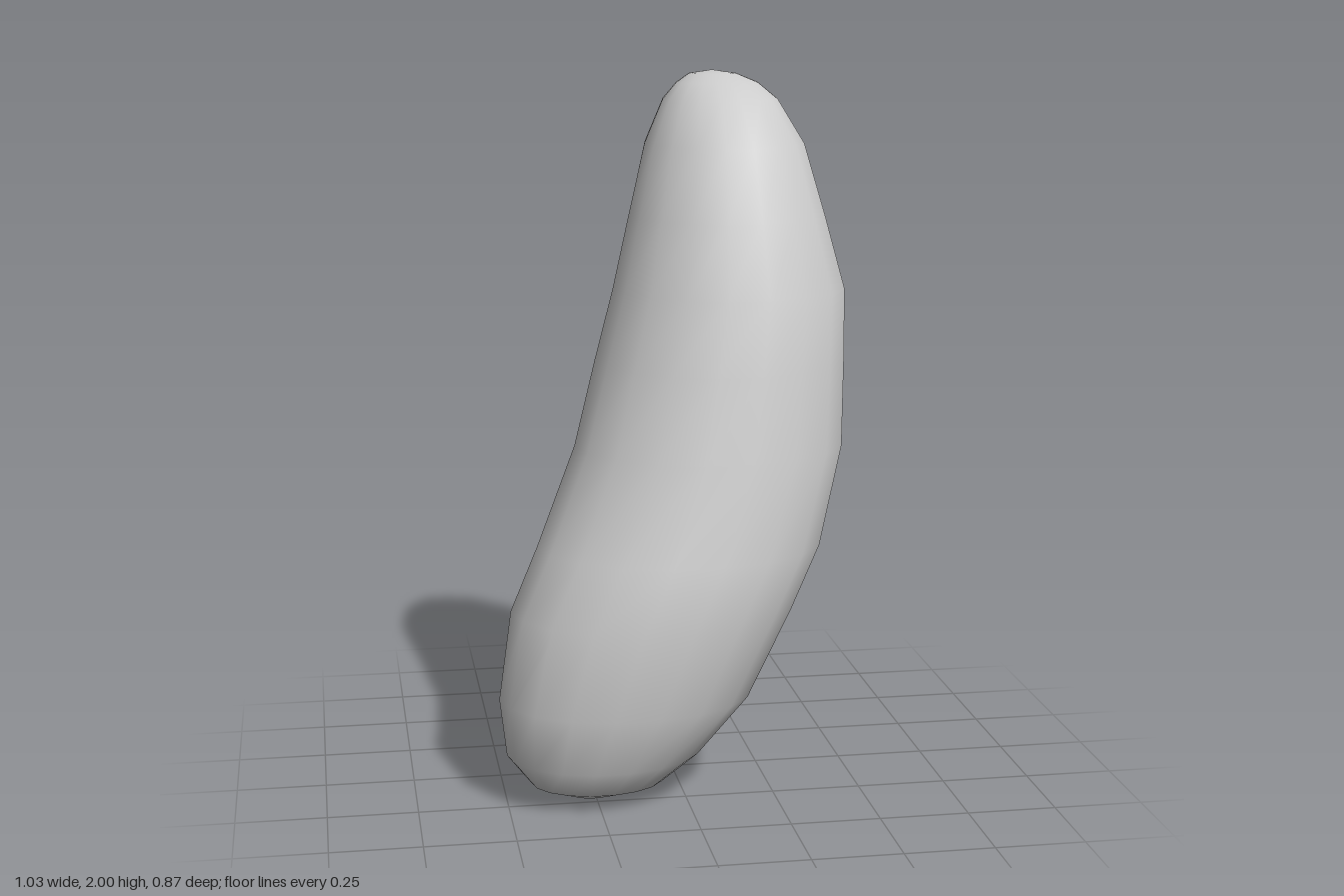
import * as THREE from 'three';

// Cross-sections from bottom to top: y, xMin, xMax, zMin, zMax
const SECTIONS = [
  [0.01, -0.33, -0.19, 0.13, 0.25],
  [0.05, -0.43, -0.06, 0.07, 0.34],
  [0.13, -0.495, 0.045, -0.01, 0.395],
  [0.29, -0.512, 0.19, -0.075, 0.432],
  [0.53, -0.472, 0.32, -0.182, 0.44],
  [0.7, -0.39, 0.41, -0.25, 0.402],
  [0.97, -0.275, 0.485, -0.32, 0.337],
  [1.2, -0.21, 0.5, -0.372, 0.28],
  [1.4, -0.152, 0.508, -0.392, 0.228],
  [1.6, -0.1, 0.46, -0.412, 0.153],
  [1.8, -0.045, 0.41, -0.435, 0.06],
  [1.92, 0.015, 0.345, -0.42, -0.06],
  [1.965, 0.06, 0.295, -0.4, -0.15],
  [1.99, 0.1, 0.235, -0.365, -0.22],
];
const SIDES = 18;

// Closed smooth skin: oval rings joined in strips, with a pole at each end
function bodyGeometry() {
  const points = [], index = [];
  for (const [y, x0, x1, z0, z1] of SECTIONS) {
    for (let i = 0; i < SIDES; i++) {
      const a = (i / SIDES) * Math.PI * 2;
      points.push(
        (x0 + x1) / 2 + ((x1 - x0) / 2) * 1.01 * Math.cos(a),
        y,
        (z0 + z1) / 2 + ((z1 - z0) / 2) * 1.01 * Math.sin(a));
    }
  }
  const rings = SECTIONS.length;
  const bottom = rings * SIDES, top = bottom + 1;
  points.push(-0.26, 0, 0.19, 0.165, 2, -0.29);

  for (let i = 0; i < SIDES; i++) {
    const j = (i + 1) % SIDES;
    for (let r = 0; r < rings - 1; r++) {
      const a = r * SIDES + i, b = r * SIDES + j;
      index.push(a, a + SIDES, b, b, a + SIDES, b + SIDES);
    }
    const last = (rings - 1) * SIDES;
    index.push(bottom, i, j, top, last + j, last + i);
  }

  const geometry = new THREE.BufferGeometry();
  geometry.setAttribute('position', new THREE.Float32BufferAttribute(points, 3));
  geometry.setIndex(index);
  geometry.computeVertexNormals();
  return geometry;
}

export function createModel() {
  const group = new THREE.Group();
  const body = new THREE.Mesh(bodyGeometry(), new THREE.MeshStandardMaterial({ color: 0xcccccc }));
  body.name = 'curvedBeanBody';
  group.add(body);
  return group;
}
